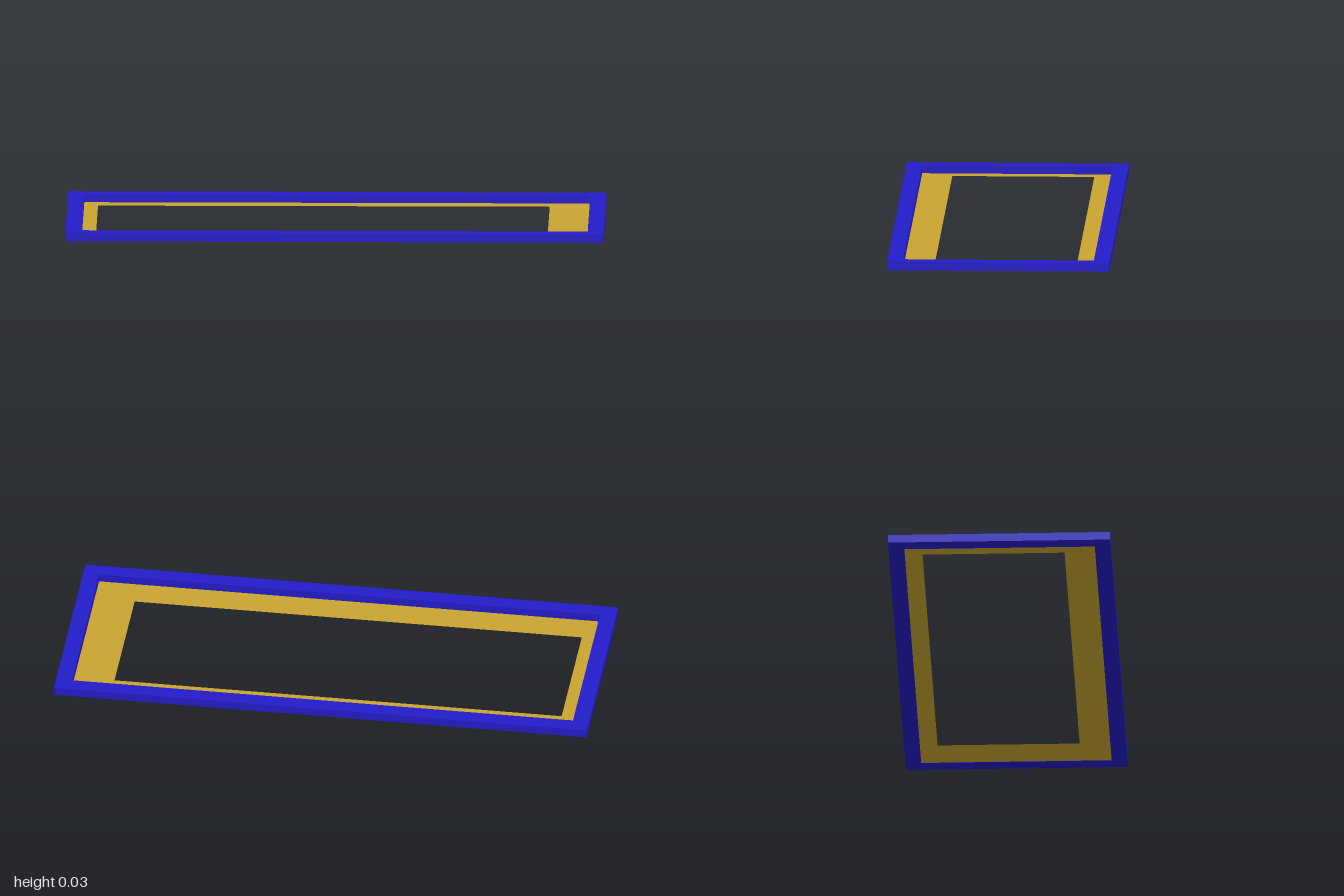
import * as THREE from 'three';

// Rectangle outline in plan, given as x and z limits
function rect(PathType, x0, x1, z0, z1) {
  const p = new PathType();
  p.moveTo(x0, -z1);
  p.lineTo(x1, -z1);
  p.lineTo(x1, -z0);
  p.lineTo(x0, -z0);
  p.closePath();
  return p;
}

export function createModel() {
  const model = new THREE.Group();
  const height = 0.031;
  const add = (name, geometry, color, y) => {
    geometry.rotateX(-Math.PI / 2);
    const material = new THREE.MeshStandardMaterial({ color, side: THREE.DoubleSide });
    const mesh = new THREE.Mesh(geometry, material);
    mesh.name = name;
    mesh.position.y = y;
    model.add(mesh);
  };

  // Raised outer border
  const border = rect(THREE.Shape, -1, 1, -0.413, 0.413);
  border.holes.push(rect(THREE.Path, -0.94, 0.94, -0.354, 0.354));
  add('outerFrame', new THREE.ExtrudeGeometry(border, { depth: height, bevelEnabled: false }), 0x231bc8, 0);

  // Thin inner panel at the bottom, with an off-centre opening
  const panel = rect(THREE.Shape, -0.94, 0.94, -0.354, 0.354);
  panel.holes.push(rect(THREE.Path, -0.888, 0.79, -0.288, 0.24));
  add('innerPanel', new THREE.ShapeGeometry(panel), 0xc8a430, 0.001);

  return model;
}
